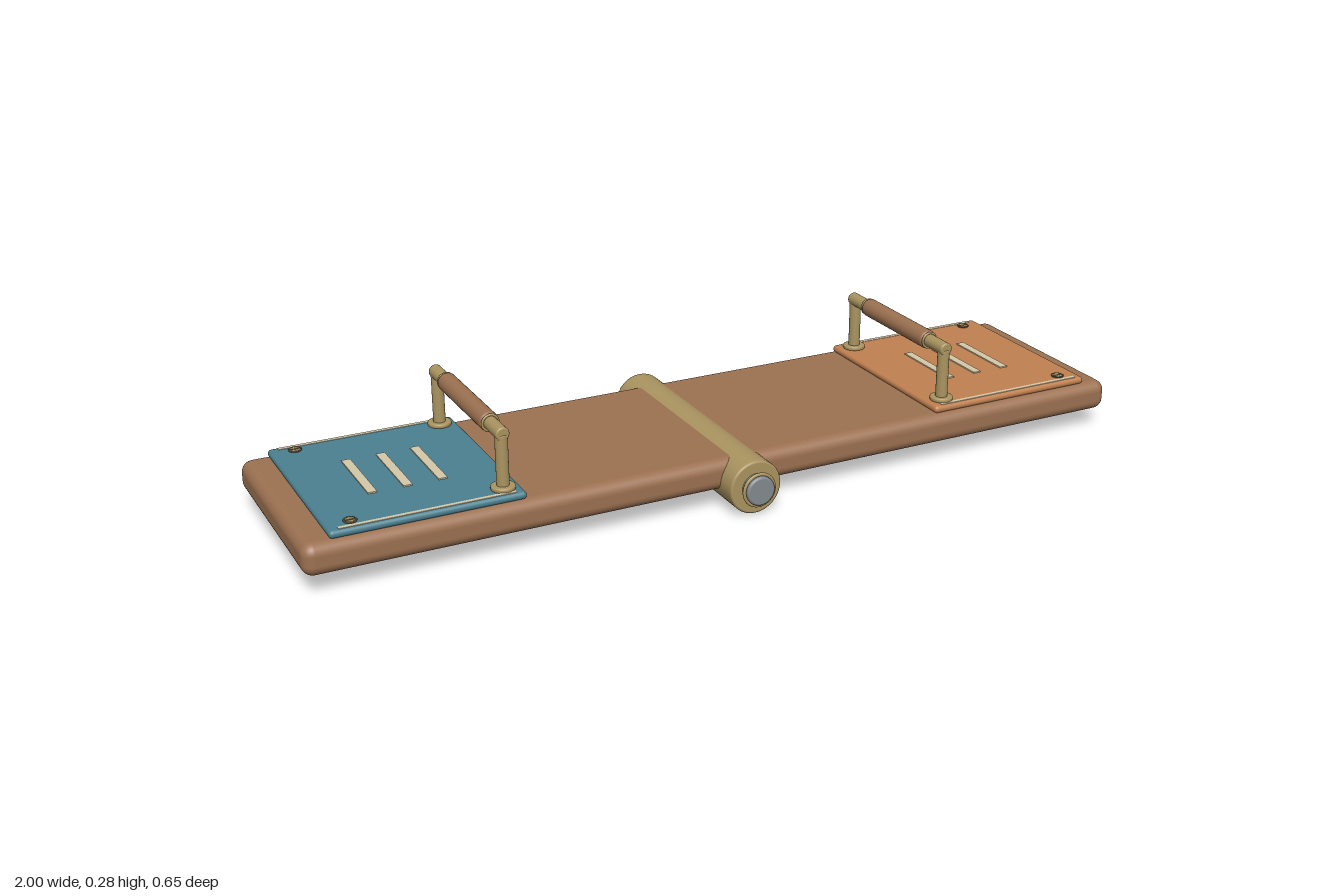
import * as THREE from 'three';
import { RoundedBoxGeometry } from 'three/addons/geometries/RoundedBoxGeometry.js';

const mat = (name, color) => {
  const m = new THREE.MeshStandardMaterial({ color });
  m.name = name;
  return m;
};

export function createModel() {
  const wood = mat('wood', 0x9c7151);
  const brass = mat('brass', 0xaa9460);
  const steel = mat('steel', 0x848a90);
  const teal = mat('teal', 0x4a8090);
  const orange = mat('orange', 0xc08050);
  const cream = mat('cream', 0xd4c8a8);
  const dark = mat('dark metal', 0x5c5040);

  const root = new THREE.Group();
  root.name = 'seesaw';

  const add = (parent, name, geo, material, x = 0, y = 0, z = 0) => {
    const m = new THREE.Mesh(geo, material);
    m.name = name;
    m.position.set(x, y, z);
    parent.add(m);
    return m;
  };

  // Solid of revolution with softened rims, centred on its own axis
  const rod = (r, len, bevel = 0.003, along = 'y') => {
    const h = len / 2;
    const c = bevel * 0.3;
    const pts = [
      [0, -h], [r - bevel, -h], [r - c, -h + c], [r, -h + bevel],
      [r, h - bevel], [r - c, h - c], [r - bevel, h], [0, h],
    ].map(([a, b]) => new THREE.Vector2(a, b));
    // split the flat parts from the bevels so that they stay crisp
    const flat = [];
    pts.forEach((p, i) => {
      flat.push(p);
      const next = pts[i + 1];
      if (next && p.distanceTo(next) > bevel * 1.5) {
        flat.push(p.clone().lerp(next, 0.02), p.clone().lerp(next, 0.98));
      }
    });
    const g = new THREE.LatheGeometry(flat, 32);
    if (along === 'z') g.rotateX(Math.PI / 2);
    return g;
  };

  // Plank and the stiffening beam beneath it
  add(root, 'plank', new RoundedBoxGeometry(2, 0.073, 0.498, 5, 0.026), wood, 0, 0.081, 0);
  add(root, 'underBeam', new RoundedBoxGeometry(1.51, 0.05, 0.22, 3, 0.008), wood, 0, 0.03, 0);

  // Pivot sleeve with a pin end and retaining ring on each side
  add(root, 'pivotSleeve', rod(0.0625, 0.595, 0.004, 'z'), brass, 0, 0.0625, 0);
  for (const s of [-1, 1]) {
    add(root, 'pivotPin', rod(0.034, 0.034, 0.004, 'z'), steel, 0, 0.0625, s * 0.306);
    add(root, 'pivotRing', new THREE.TorusGeometry(0.037, 0.004, 10, 36), brass, 0, 0.0625, s * 0.312);
  }

  // One seat: pad, grip strips, trim, screws and handle
  const makeSeat = (side, padMaterial) => {
    const seat = new THREE.Group();
    seat.name = side > 0 ? 'leftSeat' : 'rightSeat';
    const cx = side * 0.725;
    add(seat, 'seatPad', new RoundedBoxGeometry(0.428, 0.018, 0.468, 4, 0.0088), padMaterial, cx, 0.125, 0);

    for (const i of [-1, 0, 1]) {
      add(seat, 'gripStrip', new THREE.BoxGeometry(0.02, 0.005, 0.187), cream, cx + i * 0.078, 0.1345, 0);
    }

    const hx = side * 0.551;
    for (const s of [-1, 1]) {
      add(seat, 'trimStrip', new THREE.BoxGeometry(0.385, 0.003, 0.01), cream, cx, 0.1335, s * 0.222);

      // Pad screw with a slotted head
      const bx = side * 0.885;
      add(seat, 'screw', rod(0.014, 0.006, 0.002), brass, bx, 0.134, s * 0.2);
      add(seat, 'screwSlot', new THREE.BoxGeometry(0.02, 0.001, 0.005), dark, bx, 0.1373, s * 0.2);
      const rim = add(seat, 'screwRim', new THREE.TorusGeometry(0.013, 0.002, 8, 24), dark, bx, 0.136, s * 0.2);
      rim.rotation.x = Math.PI / 2;

      // Handle foot, upright and corner
      add(seat, 'handleFoot', rod(0.027, 0.01, 0.003), brass, hx, 0.138, s * 0.195);
      add(seat, 'handlePost', rod(0.014, 0.125, 0.002), brass, hx, 0.196, s * 0.195);
      add(seat, 'handleArm', rod(0.0155, 0.08, 0.003, 'z'), brass, hx, 0.261, s * 0.167);
      add(seat, 'gripCollar', new THREE.TorusGeometry(0.018, 0.003, 8, 28), brass, hx, 0.261, s * 0.135);
    }
    add(seat, 'handleGrip', rod(0.022, 0.264, 0.005, 'z'), wood, hx, 0.261, 0);
    root.add(seat);
  };

  makeSeat(-1, teal);
  makeSeat(1, orange);
  return root;
}
